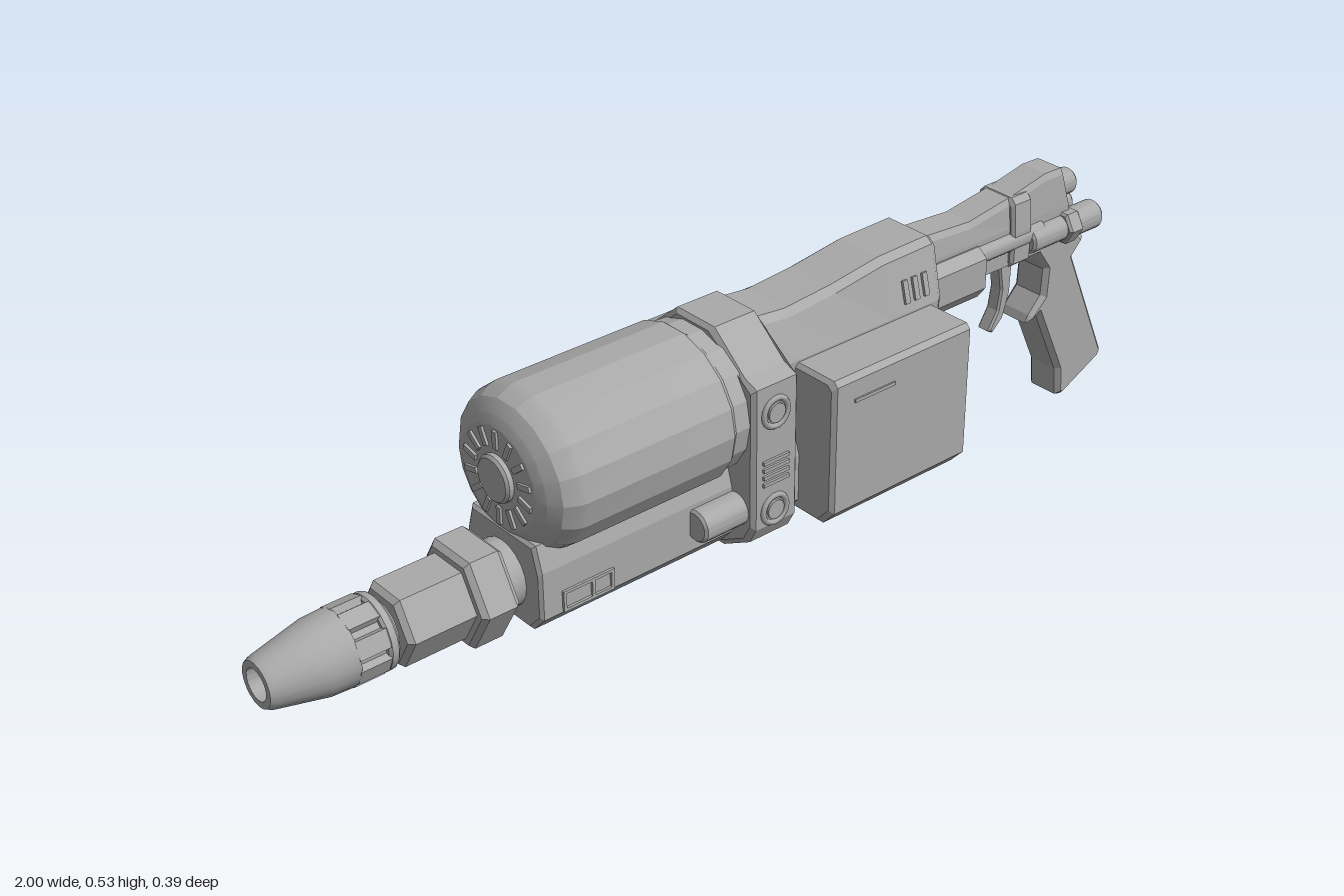
import * as THREE from 'three';
import { toCreasedNormals } from 'three/addons/utils/BufferGeometryUtils.js';

export function createModel() {
  const model = new THREE.Group();
  const gray = new THREE.MeshStandardMaterial({ color: 0xaaaaaa });

  const add = (name, geo, x = 0, y = 0, z = 0) => {
    const mesh = new THREE.Mesh(geo, gray);
    mesh.name = name;
    mesh.position.set(x, y, z);
    model.add(mesh);
    return mesh;
  };

  // Turned part along x; points are [x, radius] from the low-x end
  const turned = (pts, sides = 20, crease = 0.5) => {
    const geo = new THREE.LatheGeometry(pts.map(([x, r]) => new THREE.Vector2(r, x)), sides);
    return toCreasedNormals(geo.rotateZ(-Math.PI / 2), crease);
  };
  const rod = (x0, x1, r, sides = 20, c = 0.005) =>
    turned([[x0, 0], [x0, r - c], [x0 + c, r], [x1 - c, r], [x1, r - c], [x1, 0]], sides);

  // Faceted body through mirrored half sections; points are [z, y, xShift] from top to bottom
  const loft = (sections) => {
    const rings = sections.map(({ x, half }) => {
      const left = half.map(([z, y, dx = 0]) => [x + dx, y, z]);
      return left.concat(left.map(([px, y, z]) => [px, y, -z]).reverse());
    });
    const pos = [];
    const n = rings[0].length;
    for (let s = 0; s < rings.length - 1; s++) {
      const a = rings[s], b = rings[s + 1];
      for (let i = 0; i < n; i++) {
        const j = (i + 1) % n;
        pos.push(...a[i], ...a[j], ...b[j], ...a[i], ...b[j], ...b[i]);
      }
    }
    const first = rings[0], last = rings[rings.length - 1];
    for (let i = 1; i < n - 1; i++) {
      pos.push(...last[0], ...last[i], ...last[i + 1]);
      pos.push(...first[0], ...first[i + 1], ...first[i]);
    }
    const geo = new THREE.BufferGeometry();
    geo.setAttribute('position', new THREE.Float32BufferAttribute(pos, 3));
    geo.computeVertexNormals();
    return geo;
  };
  // Straight body with chamfered ends
  const prism = (x0, x1, half, c = 0.008) => {
    const ys = half.map((p) => p[1]);
    const mid = (Math.max(...ys) + Math.min(...ys)) / 2;
    const inset = half.map(([z, y]) => [z - c, y - Math.sign(y - mid) * c]);
    return loft([{ x: x0, half: inset }, { x: x0 + c, half }, { x: x1 - c, half }, { x: x1, half: inset }]);
  };
  // Side outline in x-y, extruded across z
  const plate = (pts, width, bevel) => {
    const shape = new THREE.Shape(pts.map(([x, y]) => new THREE.Vector2(x, y)));
    const geo = new THREE.ExtrudeGeometry(shape, {
      depth: width - 2 * bevel, bevelThickness: bevel, bevelSize: bevel, bevelOffset: -bevel, bevelSegments: 1,
    });
    return geo.translate(0, 0, bevel - width / 2);
  };

  // Nozzle: bored tip, slotted sleeve and hexagonal barrel
  const axis = 0.166;
  add('nozzleTip', turned([[-0.93, 0], [-0.93, 0.026], [-1, 0.03], [-1, 0.043], [-0.99, 0.048],
    [-0.89, 0.069], [-0.845, 0.071], [-0.845, 0]]), 0, axis);
  add('nozzleCore', rod(-0.85, -0.76, 0.059), 0, axis);
  add('nozzleRing', rod(-0.79, -0.768, 0.071), 0, axis);
  for (let i = 0; i < 8; i++) {
    const a = (i + 0.5) * Math.PI / 4;
    const rib = add('nozzleRib', new THREE.BoxGeometry(0.06, 0.016, 0.034),
      -0.817, axis + 0.062 * Math.cos(a), 0.062 * Math.sin(a));
    rib.rotation.x = a;
  }
  add('barrel', rod(-0.755, -0.6, 0.078, 6, 0.01), 0, axis);
  add('barrelNut', rod(-0.622, -0.545, 0.101, 6, 0.01), 0, axis);
  add('barrelNeck', rod(-0.56, -0.5, 0.065), 0, axis);

  // Lower housing beneath the tank
  add('lowerHousing', prism(-0.51, 0.09,
    [[0.09, 0.26], [0.105, 0.21], [0.105, 0.115], [0.075, 0.082]], 0.006));

  // Tank with end cap and ring of vents
  const tank = add('tank', turned([[-0.51, 0], [-0.51, 0.105], [-0.502, 0.125], [-0.485, 0.147], [-0.46, 0.16],
    [-0.445, 0.163], [-0.125, 0.163], [-0.115, 0.155], [-0.06, 0.152], [-0.06, 0]], 18, 0.3), 0, 0.356);
  tank.scale.y = 0.925;
  add('tankCap', rod(-0.524, -0.505, 0.045), 0, 0.356);
  for (let i = 0; i < 14; i++) {
    const a = i * Math.PI / 7;
    const vent = add('tankVent', new THREE.BoxGeometry(0.008, 0.034, 0.011),
      -0.511, 0.356 + 0.074 * Math.cos(a), 0.078 * Math.sin(a));
    vent.rotation.x = a;
  }

  // Collar joining the tank to the receiver
  add('collar', prism(-0.082, 0.026, [[0.05, 0.508], [0.13, 0.44], [0.162, 0.428], [0.162, 0.14],
    [0.145, 0.108], [0.075, 0.069]]));

  // Receiver with a waisted top and sloping rear
  const body = (x, top, w, slant = 0) => ({
    x, half: [[0.05 * w, top], [0.065 * w, top - 0.012], [0.092 * w, 0.4, -0.003 * slant],
      [0.085 * w, 0.25, -0.008 * slant], [0.065 * w, 0.12, -0.025 * slant], [0.055 * w, 0.09, -0.035 * slant]],
  });
  add('receiver', loft([body(0.01, 0.496, 1), body(0.09, 0.488, 1), body(0.2, 0.497, 1),
    body(0.32, 0.514, 1), body(0.445, 0.517, 1, 1), body(0.458, 0.508, 0.9, 1)]));

  // Wide box around the receiver
  add('sideBox', prism(0.08, 0.43, [[0.184, 0.396], [0.194, 0.386], [0.194, 0.122], [0.165, 0.09]], 0.008));

  // Rear frame rising to the back
  const rear = (x, top, slant = 0) => ({
    x, half: [[0.03, top], [0.037, top - 0.012], [0.042, 0.45, 0.018 * slant], [0.042, 0.37, 0.035 * slant]],
  });
  add('rearFrame', loft([rear(0.44, 0.503), rear(0.58, 0.494), rear(0.7, 0.512), rear(0.79, 0.531), rear(0.835, 0.53, 1)]));
  add('foreBlock', prism(0.44, 0.602, [[0.045, 0.442], [0.068, 0.425], [0.068, 0.362], [0.05, 0.337]], 0.006));
  add('frameBracket', prism(0.685, 0.74, [[0.036, 0.512], [0.047, 0.5], [0.052, 0.44], [0.052, 0.375], [0.04, 0.365]], 0.006));

  // Bored end knob on the rear
  const knob = (x0, x1, r) => turned([[x0, 0], [x0, r], [x1 - 0.008, r], [x1, r - 0.007],
    [x1, 0.011], [x1 - 0.015, 0.009], [x1 - 0.015, 0]]);
  add('topKnob', knob(0.82, 0.898, 0.027), 0, 0.477);

  // Details mirrored on both sides
  for (const s of [1, -1]) {
    add('sideRod', rod(0.59, 0.78, 0.02), 0, 0.42, s * 0.036);
    add('sideTube', rod(0.735, 0.85, 0.027), 0, 0.406, s * 0.039);
    add('sideNut', rod(0.83, 0.868, 0.037, 6), 0, 0.406, s * 0.039);
    add('sideKnob', knob(0.86, 0.935, 0.03), 0, 0.406, s * 0.039);

    add('housingPeg', rod(-0.18, -0.075, 0.032), 0, 0.172, s * 0.118);
    // Framed recess on the lower housing
    for (const dy of [-0.018, 0.018]) add('housingFrame', new THREE.BoxGeometry(0.11, 0.006, 0.008), -0.41, 0.138 + dy, s * 0.106);
    for (const dx of [-0.052, 0.01, 0.052]) add('housingFrame', new THREE.BoxGeometry(0.006, 0.04, 0.008), -0.41 + dx, 0.138, s * 0.106);

    // Collar bolts and grille
    for (const y of [0.37, 0.17]) {
      add('boltRing', new THREE.TorusGeometry(0.028, 0.006, 6, 18), -0.03, y, s * 0.162);
      const bolt = add('bolt', new THREE.CylinderGeometry(0.019, 0.019, 0.01, 16), -0.03, y, s * 0.162);
      bolt.rotation.x = Math.PI / 2;
    }
    for (let i = 0; i < 4; i++) add('collarGrille', new THREE.BoxGeometry(0.06, 0.007, 0.008), -0.03, 0.23 + i * 0.015, s * 0.163);

    // Receiver vents and box ledge
    for (let i = 0; i < 3; i++) {
      const vent = add('receiverVent', new THREE.BoxGeometry(0.012, 0.045, 0.008), 0.362 + i * 0.025, 0.44, s * 0.083);
      vent.rotation.x = -s * 0.26;
    }
    add('boxLedge', new THREE.BoxGeometry(0.1, 0.007, 0.008), 0.18, 0.345, s * 0.193);
  }

  // Pistol grip and trigger
  add('grip', plate([[0.75, 0.4], [0.87, 0.4], [0.915, 0.357], [0.885, 0.325], [1, 0.07], [0.99, 0.055],
    [0.885, 0.003], [0.868, 0.008], [0.862, 0.07], [0.79, 0.222], [0.76, 0.212], [0.768, 0.228],
    [0.8, 0.262], [0.803, 0.32]], 0.083, 0.01));
  add('trigger', plate([[0.688, 0.38], [0.73, 0.38], [0.728, 0.29], [0.712, 0.235], [0.685, 0.21],
    [0.672, 0.217], [0.695, 0.255], [0.702, 0.3]], 0.032, 0.004));

  model.position.z = -0.004;
  return model;
}
